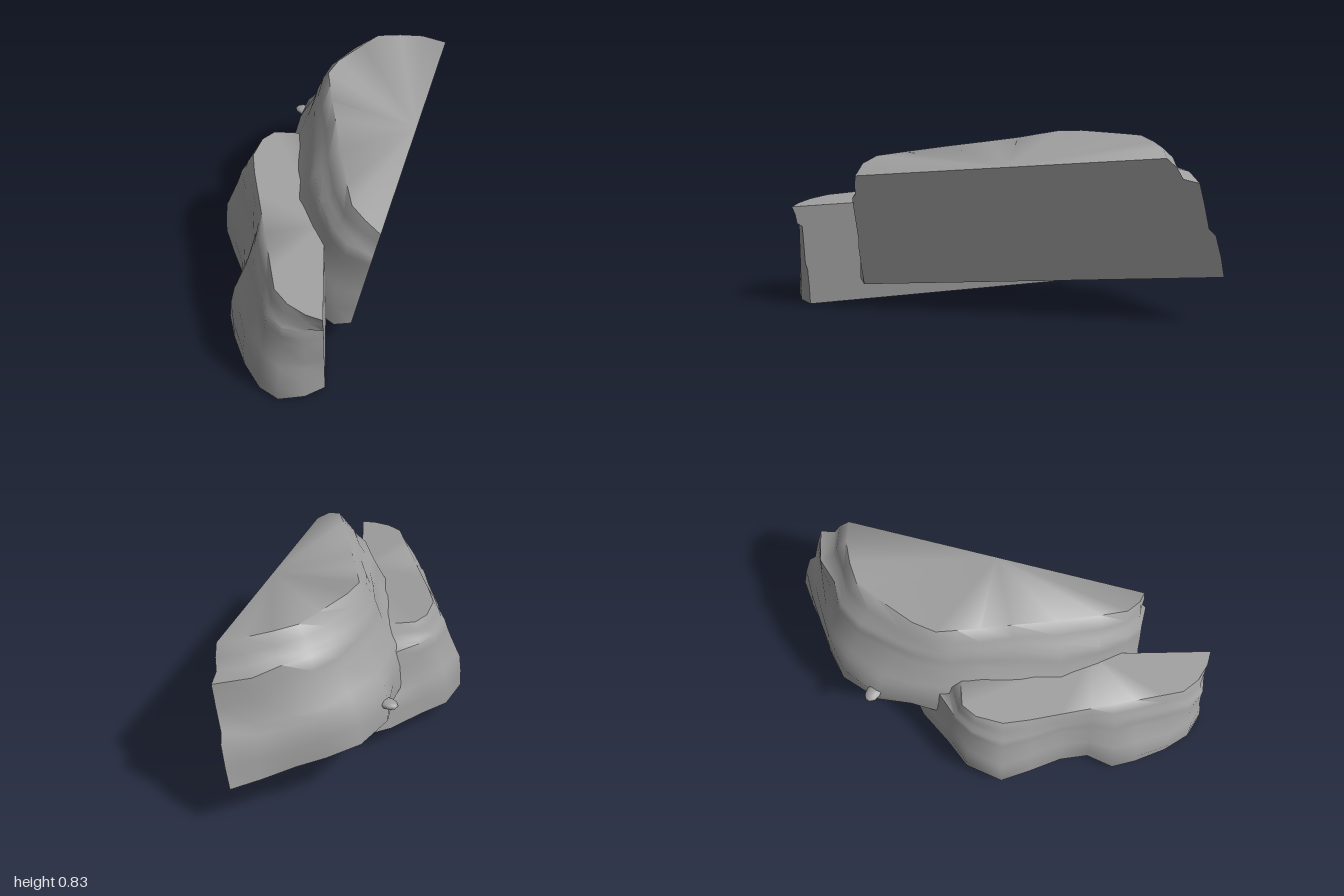
import * as THREE from 'three';
import { toCreasedNormals } from 'three/addons/utils/BufferGeometryUtils.js';

// Strata profile: [height fraction, blend from bottom to top outline at the back, same at the sides]
const STRATA = [[0, 0, 0], [0.18, 0.01, 0.04], [0.36, 0.13, 0.12], [0.42, 0.22, 0.25],
  [0.62, 0.52, 0.31], [0.7, 0.6, 0.34], [0.8, 0.68, 0.38], [0.83, 0.74, 0.7],
  [0.92, 0.82, 0.8], [1, 1, 1]];

function geometryFrom(points, triangles, crease) {
  const g = new THREE.BufferGeometry();
  g.setAttribute('position', new THREE.Float32BufferAttribute(points.flat(), 3));
  g.setIndex(triangles);
  return toCreasedNormals(g, crease);
}

// One slab: open underneath, flat leaning front, stepped and rounded back wall
function makeSlab({ bottom, top, bottomY, topY }, material, phase) {
  const n = bottom.length;
  const at = ([x, z], yRule) => new THREE.Vector3(x, yRule(x, z), z);
  const plane = new THREE.Plane().setFromCoplanarPoints(
    at(bottom[0], bottomY), at(bottom[n - 1], bottomY), at(top[0], topY));

  const rows = STRATA.map(([t, back, side]) => bottom.map((b, i) => {
    const p = top[i];
    const low = bottomY(...b), high = topY(...p);
    const end = i === 0 || i === n - 1;
    const sideness = (2 * i / (n - 1) - 1) ** 2;
    // Shallow lumps that fade out at the rims
    const lump = end ? 0 : 0.07 * Math.sin(i * 1.9 + t * 5 + phase) * Math.sin(Math.PI * t);
    const k = back + (side - back) * sideness + lump;
    const x = b[0] + (p[0] - b[0]) * k;
    const y = low + (high - low) * t;
    let z = b[1] + (p[1] - b[1]) * k;
    if (end) z = -(plane.constant + plane.normal.x * x + plane.normal.y * y) / plane.normal.z;
    return [x, y, z];
  }));

  // Back wall and top in one shell, so the rim stays soft where it is rounded
  const shell = [];
  for (let j = 0; j < rows.length - 1; j++) {
    for (let i = 0; i < n - 1; i++) {
      const a = j * n + i, d = a + n;
      shell.push(a, d, d + 1, a, d + 1, a + 1);
    }
  }
  // The top is fanned from the middle of its front edge
  const rim = rows[rows.length - 1];
  const mid = rim[0].map((v, k) => (v + rim[n - 1][k]) / 2);
  const first = (rows.length - 1) * n;
  for (let i = 0; i < n - 1; i++) shell.push(first + n, first + i + 1, first + i);

  // Flat front, one strip per stratum
  const face = [], faceTris = [];
  rows.forEach((r, j) => {
    face.push(r[0], r[n - 1]);
    if (j) {
      const a = 2 * j - 2;
      faceTris.push(a, a + 1, a + 3, a, a + 3, a + 2);
    }
  });

  const group = new THREE.Group();
  const add = (name, geometry) => {
    const mesh = new THREE.Mesh(geometry, material);
    mesh.name = name;
    group.add(mesh);
  };
  add('backWallAndTop', geometryFrom([...rows.flat(), mid], shell, 0.95));
  add('frontFace', geometryFrom(face, faceTris, 0.5));
  return group;
}

// Outlines run from the -x front corner round the back to the +x front corner, as [x, z]
const UPPER = {
  bottom: [[-0.55, 0.42], [-0.61, 0.37], [-0.61, 0.24], [-0.55, 0.08], [-0.45, -0.05],
    [-0.3, -0.17], [-0.15, -0.29], [0.02, -0.36], [0.18, -0.41], [0.32, -0.48],
    [0.52, -0.48], [0.66, -0.4], [0.76, -0.32], [0.89, -0.24], [1, -0.16]],
  top: [[-0.5, 0.53], [-0.51, 0.46], [-0.49, 0.38], [-0.4, 0.29], [-0.25, 0.15],
    [-0.1, 0.02], [0, -0.07], [0.08, -0.14], [0.15, -0.2], [0.26, -0.22],
    [0.45, -0.21], [0.57, -0.2], [0.66, -0.13], [0.74, -0.05], [0.8, 0.03]],
  bottomY: (x, z) => 0.203 - 0.0186 * x - 0.222 * z,
  // Rises a little behind the front edge, more so on the -x half
  topY: (x, z) => {
    const behind = THREE.MathUtils.clamp((0.338 - 0.385 * x - z) / 0.1, 0, 1);
    return 0.766 - 0.22 * z + (0.014 + 0.06 * Math.max(0, -x)) * behind;
  },
};
const LOWER = {
  bottom: [[-0.83, 0.48], [-0.92, 0.44], [-1, 0.36], [-1, 0.26], [-0.94, 0.13],
    [-0.85, 0], [-0.77, -0.09], [-0.64, -0.11], [-0.54, -0.2], [-0.45, -0.33],
    [-0.36, -0.45], [-0.18, -0.48], [-0.04, -0.43], [0.14, -0.38], [0.27, -0.3]],
  top: [[-0.89, 0.52], [-0.91, 0.45], [-0.91, 0.36], [-0.88, 0.27], [-0.81, 0.2],
    [-0.72, 0.11], [-0.65, 0.04], [-0.57, -0.04], [-0.47, -0.14], [-0.37, -0.24],
    [-0.28, -0.32], [-0.16, -0.36], [-0.08, -0.35], [-0.02, -0.27], [0.02, -0.09]],
  bottomY: (x, z) => 0.0665 + 0.03 * x - 0.0845 * z,
  topY: (x, z) => 0.525 - 0.1 * z,
};

export function createModel() {
  const stone = new THREE.MeshStandardMaterial({ color: 0xa0a0a0, side: THREE.DoubleSide });
  stone.name = 'greyStone';

  const model = new THREE.Group();
  model.name = 'rockLedges';

  const upper = makeSlab(UPPER, stone, 0);
  upper.name = 'upperSlab';
  const lower = makeSlab(LOWER, stone, 2);
  lower.name = 'lowerSlab';

  // Small pebble stuck out of the back
  const pebble = new THREE.Mesh(new THREE.SphereGeometry(1, 10, 6), stone);
  pebble.name = 'backPebble';
  pebble.scale.set(0.035, 0.018, 0.05);
  pebble.position.set(0.33, 0.405, -0.485);

  model.add(upper, lower, pebble);
  return model;
}
